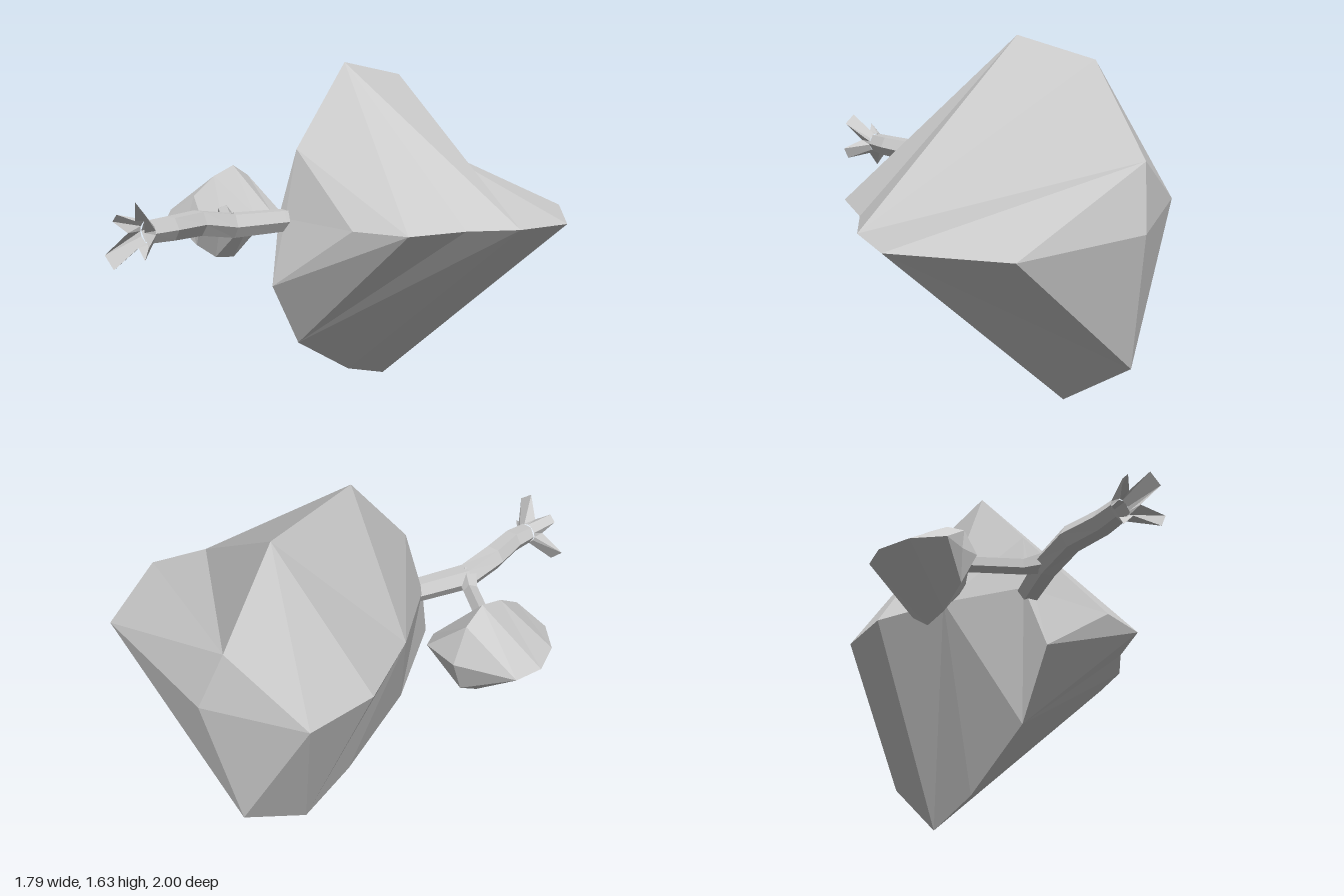
import * as THREE from 'three';

const material = new THREE.MeshStandardMaterial({ color: 0xcccccc, flatShading: true, side: THREE.DoubleSide });

// Faceted mesh from a flat list of corner vectors, three per face
function facetMesh(name, corners) {
  const geometry = new THREE.BufferGeometry().setFromPoints(corners);
  geometry.computeVertexNormals();
  const mesh = new THREE.Mesh(geometry, material);
  mesh.name = name;
  return mesh;
}

// Crown from four ridges (right, top, left, bottom) running front to back.
// Each order string says which ridge of a pair steps on next.
function crown(name, cx, cy, ridges, orders, front, back) {
  const lines = [
    ridges.right.map(([x, z]) => new THREE.Vector3(x, cy, z)),
    ridges.top.map(([y, z]) => new THREE.Vector3(cx, y, z)),
    ridges.left.map(([x, z]) => new THREE.Vector3(x, cy, z)),
    ridges.bottom.map(([y, z]) => new THREE.Vector3(cx, y, z)),
  ];
  const f = new THREE.Vector3(...front), k = new THREE.Vector3(...back);
  const corners = [];
  lines.forEach((a, n) => {
    const b = lines[(n + 1) % 4];
    let i = 0, j = 0;
    corners.push(f, a[0], b[0]);
    for (const step of orders[n]) {
      if (step === 'a') corners.push(a[i], a[++i], b[j]);
      else corners.push(a[i], b[j + 1], b[j++]);
    }
    corners.push(k, b[j], a[i]);
  });
  return facetMesh(name, corners);
}

// Skin between rings of equal point count
function loft(name, rings) {
  const corners = [];
  for (let r = 0; r < rings.length - 1; r++) {
    const p = rings[r], q = rings[r + 1], n = p.length;
    for (let i = 0; i < n; i++) {
      const j = (i + 1) % n;
      corners.push(p[i], q[i], p[j], p[j], q[i], q[j]);
    }
  }
  return facetMesh(name, corners);
}

// Limb through points [x, y, z, radius]
function limb(name, path, sides) {
  const pts = path.map(([x, y, z]) => new THREE.Vector3(x, y, z));
  const up = new THREE.Vector3(0, 1, 0);
  return loft(name, pts.map((p, r) => {
    const dir = pts[Math.min(r + 1, pts.length - 1)].clone().sub(pts[Math.max(r - 1, 0)]).normalize();
    const side = up.clone().cross(dir).negate().normalize();
    const rise = side.clone().cross(dir).normalize();
    return Array.from({ length: sides }, (_, i) => {
      const t = -i / sides * Math.PI * 2;
      return p.clone().addScaledVector(side, Math.cos(t) * path[r][3]).addScaledVector(rise, -Math.sin(t) * path[r][3]);
    });
  }));
}

export function createModel() {
  const group = new THREE.Group();

  // Main foliage
  group.add(crown('largeCrown', -0.15, 0.95, {
    right: [[0.27, 0.23], [0.52, 0.17], [0.64, -0.08], [0.80, -0.26], [0.89, -0.51], [0.63, -0.93]],
    top: [[1.26, 0.12], [1.64, -0.22], [1.57, -0.65], [1.19, -0.92]],
    left: [[-0.20, 0.19], [-0.40, -0.15], [-0.54, -0.50], [-0.51, -0.82]],
    bottom: [[0.65, 0.29], [0.34, 0.12], [0.11, -0.25], [0.01, -0.54], [0.28, -0.90]],
  }, ['abaabbaa', 'baabba', 'babbaab', 'babbaabab'], [-0.15, 0.95, 0.2], [-0.06, 0.92, -1]));

  // Foliage on the side branch
  group.add(crown('smallCrown', -0.62, 0.92, {
    right: [[-0.56, 0.34], [-0.53, 0.24], [-0.45, 0.10], [-0.42, 0.01], [-0.45, -0.07]],
    top: [[1.02, 0.33], [1.10, 0.20], [1.14, 0.07], [1.08, -0.03]],
    left: [[-0.74, 0.39], [-0.85, 0.28], [-0.90, 0.13], [-0.87, 0.00]],
    bottom: [[0.78, 0.32], [0.70, 0.20], [0.68, 0.08], [0.76, -0.04]],
  }, ['abababa', 'bababa', 'ababab', 'bababab'], [-0.64, 0.92, 0.35], [-0.62, 0.92, -0.1]));

  // Bent trunk and side branch
  group.add(limb('trunk', [
    [-0.27, 0.98, 0.89, 0.05], [-0.26, 0.98, 0.78, 0.055], [-0.28, 0.975, 0.61, 0.06],
    [-0.26, 0.94, 0.43, 0.06], [-0.17, 0.94, 0.2, 0.055], [-0.14, 0.94, 0.12, 0.05],
  ], 6));
  group.add(limb('branch', [
    [-0.26, 0.95, 0.44, 0.05], [-0.34, 0.93, 0.37, 0.035], [-0.52, 0.94, 0.23, 0.035], [-0.58, 0.93, 0.18, 0.03],
  ], 5));

  // Four splayed roots, open at the end: two tips and a valley each
  const base = [], foot = [];
  const roots = [[0.93, 0.16], [2.4, 0.1], [3.95, 0.18], [5.85, 0.14]];
  const point = (t, r, z) => new THREE.Vector3(-0.27 + Math.cos(t) * r, 0.98 + Math.sin(t) * r, z);
  roots.forEach(([angle, reach], n) => {
    const next = roots[(n + 1) % 4][0] + (n === 3 ? Math.PI * 2 : 0);
    const valley = (angle + next) / 2;
    for (const s of [-0.22, 0.22]) {
      base.push(point(angle + s * 1.5, 0.05, 0.89));
      foot.push(point(angle + s, reach, 1));
    }
    base.push(point(valley, 0.05, 0.89));
    foot.push(point(valley, 0.055, 0.95));
  });
  group.add(loft('roots', [foot, base]));

  return group;
}
